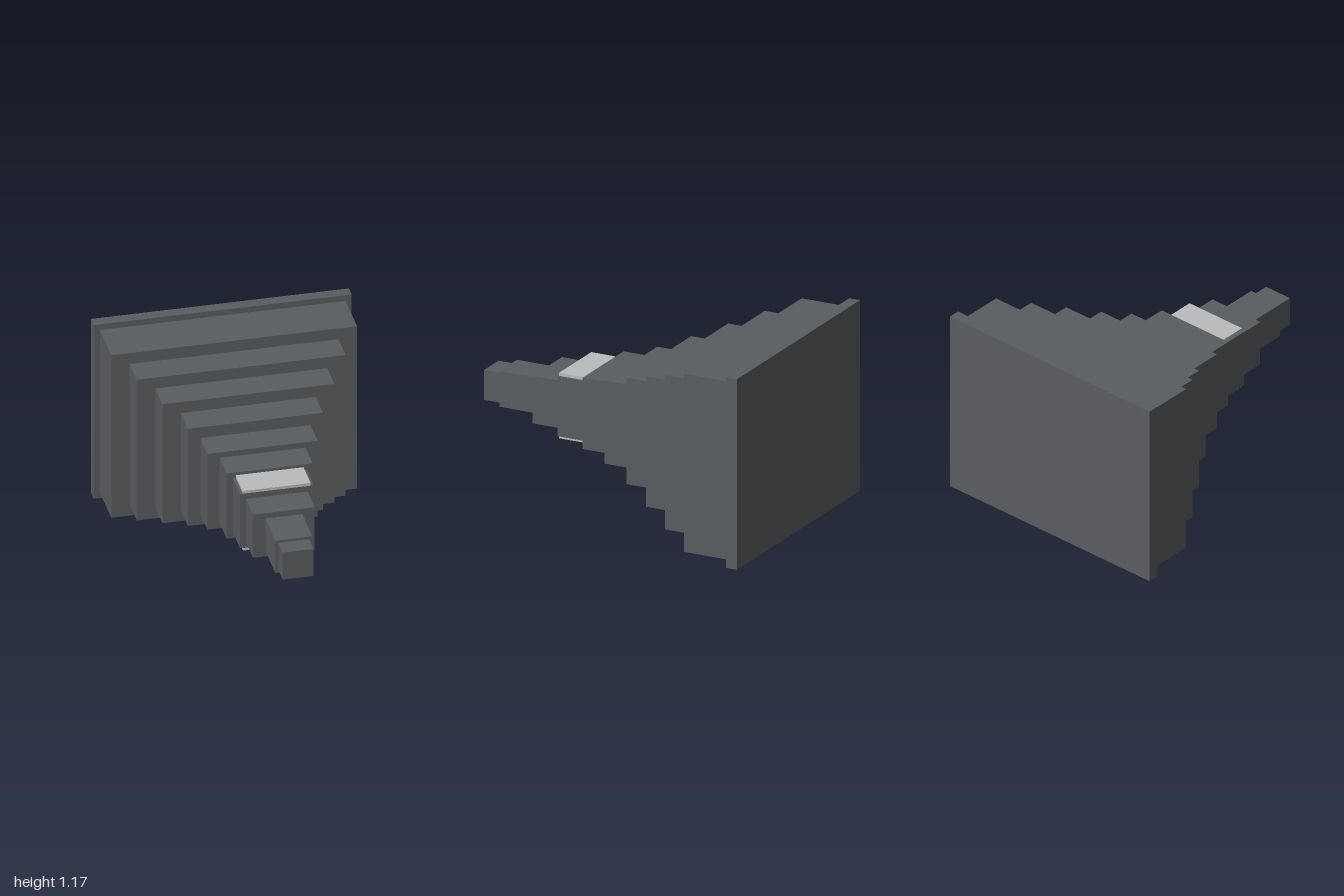
import * as THREE from 'three';

export function createModel() {
  const group = new THREE.Group();
  const darkGrey = new THREE.MeshStandardMaterial({ color: 0x5a5d60 });
  darkGrey.name = 'dark grey';
  const lightGrey = new THREE.MeshStandardMaterial({ color: 0xbbbcbe });
  lightGrey.name = 'light grey';
  const centreY = 0.585;

  // Box spanning zFront to zBack, centred on x = 0
  function addBox(name, material, width, height, y, zFront, zBack) {
    const mesh = new THREE.Mesh(new THREE.BoxGeometry(width, height, zFront - zBack), material);
    mesh.name = name;
    mesh.position.set(0, y, (zFront + zBack) / 2);
    group.add(mesh);
  }

  // Stepped body, tip to base: name, front z, half width, half height
  const steps = [
    ['tip', 1, 0.091, 0.091],
    ['neck', 0.89, 0.109, 0.109],
    ['step1', 0.635, 0.182, 0.145],
    ['collar', 0.454, 0.217, 0.182],
    ['step2', 0.272, 0.254, 0.218],
    ['step3', 0.09, 0.326, 0.254],
    ['step4', -0.092, 0.399, 0.326],
    ['step5', -0.274, 0.508, 0.399],
    ['step6', -0.456, 0.617, 0.472],
    ['step7', -0.638, 0.726, 0.545],
    ['backRim', -0.929, 0.762, 0.583],
  ];
  steps.forEach(([name, z, hw, hh], i) => {
    const zBack = i + 1 < steps.length ? steps[i + 1][1] : -1;
    addBox(name, darkGrey, hw * 2, hh * 2, centreY, z, zBack);
  });

  // Pale plates above and below the collar
  for (const side of [1, -1]) {
    addBox(side > 0 ? 'upperPlate' : 'lowerPlate', lightGrey,
      0.4, 0.018, centreY + side * 0.191, 0.454, 0.272);
  }
  return group;
}
